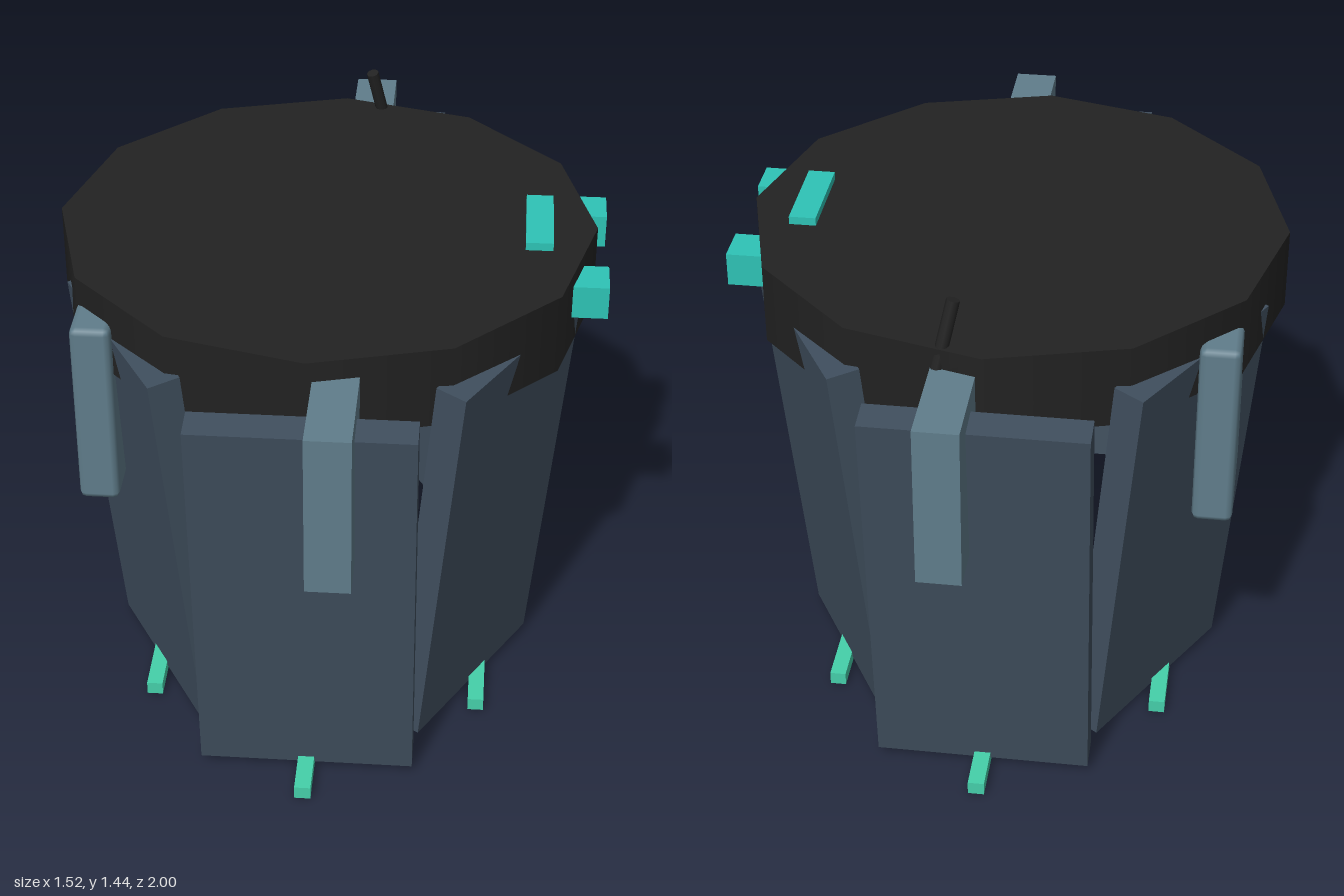
import * as THREE from 'three';
import { RoundedBoxGeometry } from 'three/addons/geometries/RoundedBoxGeometry.js';

const mat = (name, color) => {
  const m = new THREE.MeshStandardMaterial({ color });
  m.name = name;
  return m;
};

export function createModel() {
  const black = mat('black', 0x222222);
  const slate = mat('slate', 0x3f4e5d);
  const greyBlue = mat('grey blue', 0x607d8b);
  const teal = mat('teal', 0x2ec4b6);
  const green = mat('sea green', 0x45d0aa);

  const model = new THREE.Group();
  model.name = 'drum';
  const add = (name, geo, material, x, y, z) => {
    const mesh = new THREE.Mesh(geo, material);
    mesh.name = name;
    mesh.position.set(x, y, z);
    model.add(mesh);
    return mesh;
  };
  const box = (name, material, w, h, d, x, y, z) =>
    add(name, new THREE.BoxGeometry(w, h, d), material, x, y, z);

  const cx = -0.015;

  // twelve-sided lid
  add('lid', new THREE.CylinderGeometry(0.745, 0.745, 0.23, 12), black, cx, 1.197, 0);

  // six panels leaning outwards on an oval, each with a foot strip
  for (let i = 0; i < 6; i++) {
    const a = (i * Math.PI) / 3;
    const x = cx + 0.537 * Math.sin(a);
    const z = 0.805 * Math.cos(a);
    const panel = box('sidePanel', slate, 0.59, 1.18, 0.09, x, 0.611, z);
    panel.rotation.set(0.1, a, 0, 'YXZ');
    box('footStrip', green, 0.045, 0.038, 0.23, x, 0.019, z);
  }

  // clips over the front and back panels
  for (const s of [1, -1]) {
    box('clip', greyBlue, 0.12, 0.465, 0.39, 0.062, 1.022, s * 0.805);
  }

  // long slab on the right side
  add('sideSlab', new RoundedBoxGeometry(0.11, 0.545, 1.03, 1, 0.018), greyBlue, -0.605, 0.963, 0);

  // buttons on the rim and the bar on the lid
  for (const s of [1, -1]) {
    box('rimButton', teal, 0.11, 0.095, 0.115, 0.705, 1.224, s * 0.195);
  }
  box('lidBar', teal, 0.075, 0.03, 0.27, 0.57, 1.32, 0);

  // slanted stick at the back
  const top = new THREE.Vector3(0.066, 1.435, -0.67);
  const bottom = new THREE.Vector3(0.184, 0.888, -0.778);
  const dir = top.clone().sub(bottom);
  const mid = top.clone().add(bottom).multiplyScalar(0.5);
  const stick = add('stick', new THREE.CylinderGeometry(0.018, 0.018, dir.length(), 8), black, mid.x, mid.y, mid.z);
  stick.quaternion.setFromUnitVectors(new THREE.Vector3(0, 1, 0), dir.normalize());

  return model;
}
